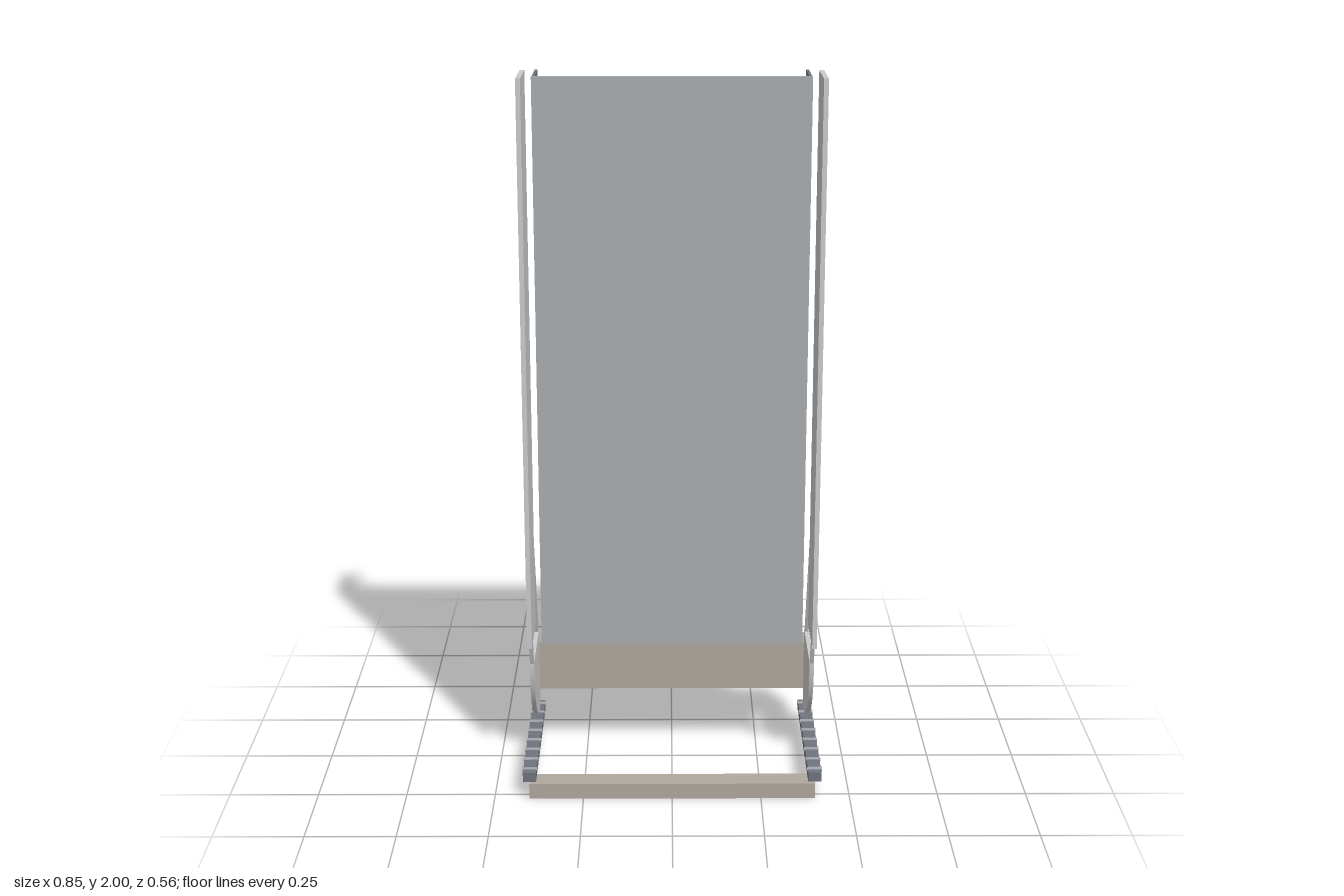
import * as THREE from 'three';

const paint = (color) => new THREE.MeshStandardMaterial({ color });

export function createModel() {
  const model = new THREE.Group();
  const steel = paint(0xcccccc);
  const deckGrey = paint(0xa9adb0);
  const concrete = paint(0xafa89e);
  const dark = paint(0x6f737e);
  const toothGrey = paint(0x9fa3a8);

  // Box given by its limits on each axis
  function box(name, parent, mat, [x0, x1], [y0, y1], [z0, z1]) {
    const mesh = new THREE.Mesh(new THREE.BoxGeometry(x1 - x0, y1 - y0, z1 - z0), mat);
    mesh.position.set((x0 + x1) / 2, (y0 + y1) / 2, (z0 + z1) / 2);
    mesh.name = name;
    parent.add(mesh);
    return mesh;
  }

  // Slanted square bar in the y-z plane
  function strut(name, parent, x, a, b, width, depth) {
    const dy = b[0] - a[0], dz = b[1] - a[1];
    const mesh = new THREE.Mesh(new THREE.BoxGeometry(width, Math.hypot(dy, dz), depth), steel);
    mesh.position.set(x, (a[0] + b[0]) / 2, (a[1] + b[1]) / 2);
    mesh.rotation.x = Math.atan2(dz, dy);
    mesh.name = name;
    parent.add(mesh);
  }

  // Raised deck and fixed beams
  box('deck', model, deckGrey, [-0.37, 0.37], [0.4, 2], [0.092, 0.105]);
  box('counterweight', model, concrete, [-0.408, 0.408], [0.125, 0.275], [-0.28, -0.203]);
  box('frontSill', model, concrete, [-0.402, 0.402], [0, 0.045], [0.213, 0.276]);

  // Quarter-disc rolling segment, drawn with shape x as z
  const radius = 0.245, hubZ = -0.183, hubY = 0.323;
  const quarter = new THREE.Shape();
  quarter.moveTo(hubZ, hubY);
  quarter.lineTo(hubZ, hubY - radius);
  quarter.absarc(hubZ, hubY, radius, -Math.PI / 2, 0, false);
  quarter.closePath();
  const segmentGeo = new THREE.ExtrudeGeometry(quarter, { depth: 0.013, bevelEnabled: false, curveSegments: 24 });
  segmentGeo.translate(0, 0, -0.0065).rotateY(-Math.PI / 2);

  const toothGeo = new THREE.CylinderGeometry(0.0065, 0.0065, 0.042, 10).rotateZ(Math.PI / 2);

  for (const s of [-1, 1]) {
    const side = new THREE.Group();
    side.name = s > 0 ? 'leftSide' : 'rightSide';
    model.add(side);
    const x = s * 0.402;
    const around = (c, w) => [c - w / 2, c + w / 2];

    // Girder, rolling segment and the struts joining them
    box('girder', side, steel, around(x, 0.013), [0.4, 2], [-0.03, 0.147]);
    const segment = new THREE.Mesh(segmentGeo, steel);
    segment.position.x = x;
    segment.name = 'rollingSegment';
    side.add(segment);
    strut('rearStrut', side, x, [0.318, -0.176], [0.69, -0.024], 0.011, 0.014);
    strut('frontStrut', side, x, [0.315, 0.053], [0.41, 0.092], 0.011, 0.014);

    // Track with a row of round teeth
    box('track', side, dark, around(x, 0.037), [0.045, 0.073], [-0.233, 0.263]);
    for (let i = 0; i < 8; i++) {
      const tooth = new THREE.Mesh(toothGeo, toothGrey);
      tooth.position.set(x, 0.071, -0.211 + i * 0.064);
      tooth.name = 'trackTooth';
      side.add(tooth);
    }

    // Railing: two long rails and nine posts standing off the deck
    const rx = s * 0.3645;
    box('topRail', side, dark, around(rx, 0.008), [0.4, 2], [-0.042, -0.032]);
    box('midRail', side, dark, around(rx, 0.005), [0.4, 2], [0.025, 0.031]);
    for (let i = 0; i < 9; i++) {
      const y = 0.405 + (i * 1.59) / 8;
      box('railPost', side, dark, around(rx, 0.008), around(y, 0.009), [-0.04, 0.094]);
    }
  }
  return model;
}
